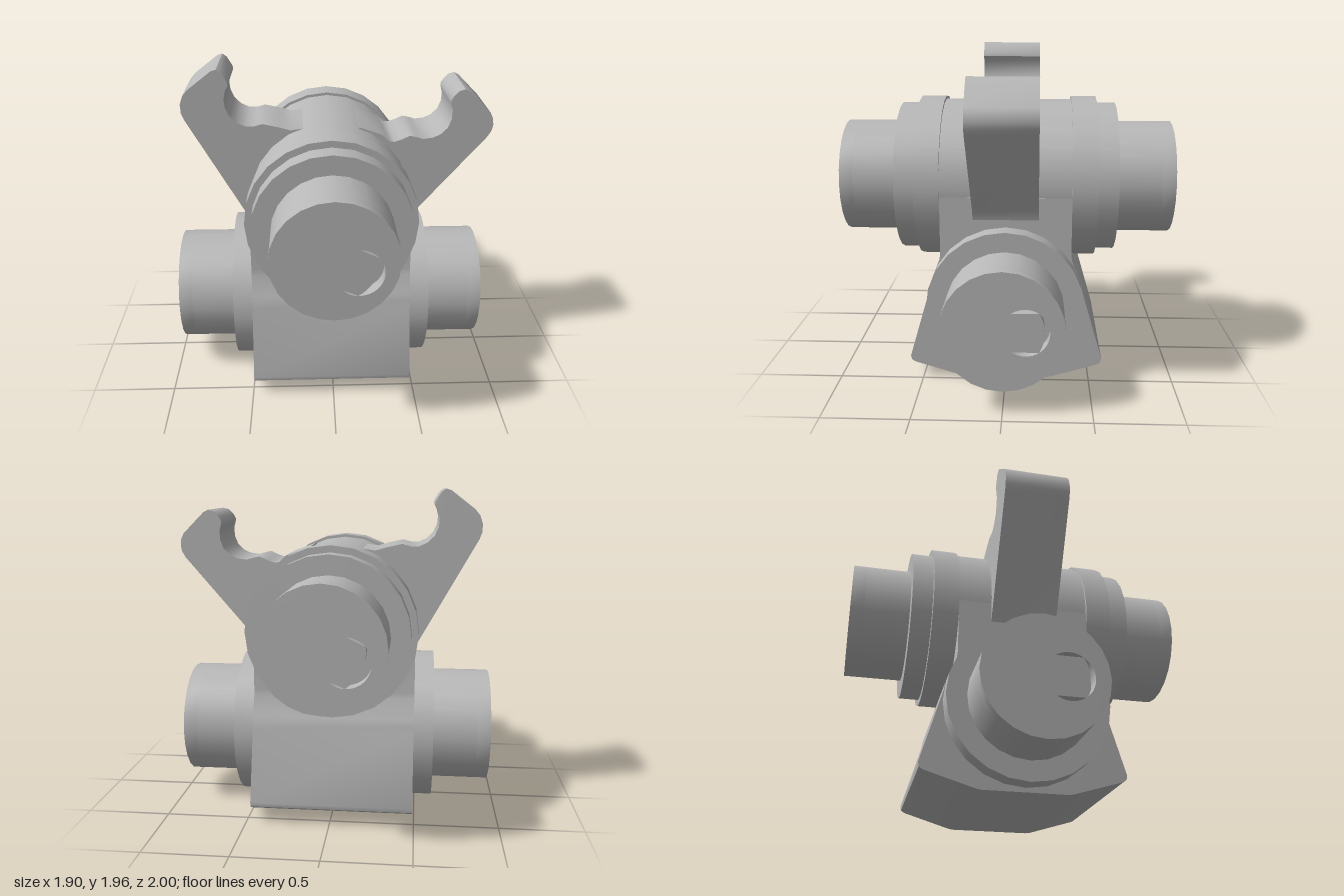
import * as THREE from 'three';
import { toCreasedNormals } from 'three/addons/utils/BufferGeometryUtils.js';

const CX = -0.01; // shared centre line of both axes
const SIDES = 24;

export function createModel() {
  const root = new THREE.Group();
  root.name = 'crossShaftHousing';
  const grey = new THREE.MeshStandardMaterial({ color: 0xb8b8b8 });
  grey.name = 'plain grey';

  const add = (parent, name, geometry) => {
    const mesh = new THREE.Mesh(geometry, grey);
    mesh.name = name;
    parent.add(mesh);
    return mesh;
  };

  // Solid disc along local z, from z0 to z1
  const disc = (parent, name, radius, z0, z1) => {
    const g = new THREE.CylinderGeometry(radius, radius, z1 - z0, SIDES);
    g.rotateX(Math.PI / 2).translate(0, 0, (z0 + z1) / 2);
    return add(parent, name, g);
  };

  // Polygon extruded symmetrically about z = 0, smooth over shallow bends
  const slab = (points, depth) => {
    const shape = new THREE.Shape(points.map(([x, y]) => new THREE.Vector2(x, y)));
    const g = new THREE.ExtrudeGeometry(shape, { depth, bevelEnabled: false });
    return toCreasedNormals(g.translate(0, 0, -depth / 2), 0.7);
  };

  // Shaft end plate with a crescent pocket where a small bore overlaps the core
  const endPlate = (radius, thick, notch) => {
    const { d, r, phi } = notch, R = 0.23;
    const a = Math.acos((d * d + R * R - r * r) / (2 * d * R));
    const b = Math.acos((d * d + r * r - R * R) / (2 * d * r));
    const shape = new THREE.Shape().absarc(0, 0, radius, 0, Math.PI * 2, false);
    const hole = new THREE.Path();
    hole.absarc(d * Math.cos(phi), d * Math.sin(phi), r, phi - b, phi + b, false);
    hole.absarc(0, 0, R, phi + a, phi - a, true);
    shape.holes.push(hole);
    const g = new THREE.ExtrudeGeometry(shape, { depth: thick, bevelEnabled: false, curveSegments: SIDES / 2 });
    return toCreasedNormals(g, 0.7);
  };

  // One half of an axle: shaft, flange and optional ring, pointing along local z
  const axleHalf = (name, y, angle, o) => {
    const half = new THREE.Group();
    half.name = name;
    half.position.set(CX, y, 0);
    half.rotation.y = angle;
    const plate = 0.08;
    disc(half, 'shaft', o.shaft, 0, o.length - plate);
    add(half, 'shaftEnd', endPlate(o.shaft, plate, o.notch)).position.z = o.length - plate;
    disc(half, 'flange', o.flange, 0, o.flangeEnd);
    if (o.ring) disc(half, 'ring', o.ring, 0.385, 0.535);
    root.add(half);
  };

  const upper = {
    shaft: 0.345, length: 1, flange: 0.458, flangeEnd: 0.655, ring: 0.497,
    notch: { d: 0.14, r: 0.135, phi: -0.45 },
  };
  const lower = {
    shaft: 0.345, length: 0.94, flange: 0.46, flangeEnd: 0.595,
    notch: { d: 0.125, r: 0.135, phi: 0 },
  };
  axleHalf('upperFrontAxle', 1.16, 0, upper);
  axleHalf('upperBackAxle', 1.16, Math.PI, upper);
  axleHalf('lowerLeftAxle', 0.485, Math.PI / 2, lower);
  axleHalf('lowerRightAxle', 0.485, -Math.PI / 2, lower);

  // Central barrel around the upper axle
  disc(root, 'barrel', 0.48, -0.39, 0.39).position.set(CX, 1.16, 0);

  // Lower housing block: mirrored side profile extruded across x
  const side = [
    [0.235, 0], [0.26, 0.003], [0.285, 0.01], [0.55, 0.09], [0.572, 0.105], [0.577, 0.13],
    [0.455, 0.55], [0.45, 0.59], [0.435, 0.63], [0.39, 0.745], [0.385, 0.78], [0.385, 1.12],
  ];
  const profile = [...side, ...side.map(([z, y]) => [-z, y]).reverse()];
  const housing = add(root, 'housing', slab(profile, 0.96));
  housing.rotation.y = Math.PI / 2;
  housing.position.x = CX;

  // Hooked arms, each rooted inside the barrel
  const rightArm = [
    [-0.1, 1.1], [-0.1, 1.62], [-0.24, 1.6], [-0.31, 1.62], [-0.4, 1.64], [-0.45, 1.627],
    [-0.5, 1.627], [-0.55, 1.65], [-0.59, 1.69], [-0.612, 1.74], [-0.617, 1.79], [-0.605, 1.84],
    [-0.588, 1.87], [-0.592, 1.89], [-0.625, 1.945], [-0.65, 1.962], [-0.68, 1.953], [-0.82, 1.845],
    [-0.85, 1.81], [-0.867, 1.76], [-0.865, 1.71], [-0.85, 1.67], [-0.5, 1.04], [-0.485, 0.98], [-0.3, 0.98],
  ];
  const leftArm = [
    [0.1, 1.1], [0.3, 0.98], [0.468, 0.98], [0.48, 1.03], [0.5, 1.06], [0.92, 1.55],
    [0.94, 1.585], [0.947, 1.62], [0.942, 1.66], [0.925, 1.695], [0.8, 1.82], [0.77, 1.836],
    [0.735, 1.825], [0.705, 1.795], [0.69, 1.765], [0.693, 1.745], [0.703, 1.71], [0.7, 1.655],
    [0.68, 1.605], [0.64, 1.565], [0.595, 1.545], [0.54, 1.538], [0.5, 1.55], [0.46, 1.558],
    [0.41, 1.535], [0.37, 1.522], [0.34, 1.525], [0.3, 1.565], [0.16, 1.615],
  ];
  add(root, 'rightHookArm', slab(rightArm, 0.385));
  add(root, 'leftHookArm', slab(leftArm, 0.385));

  return root;
}
